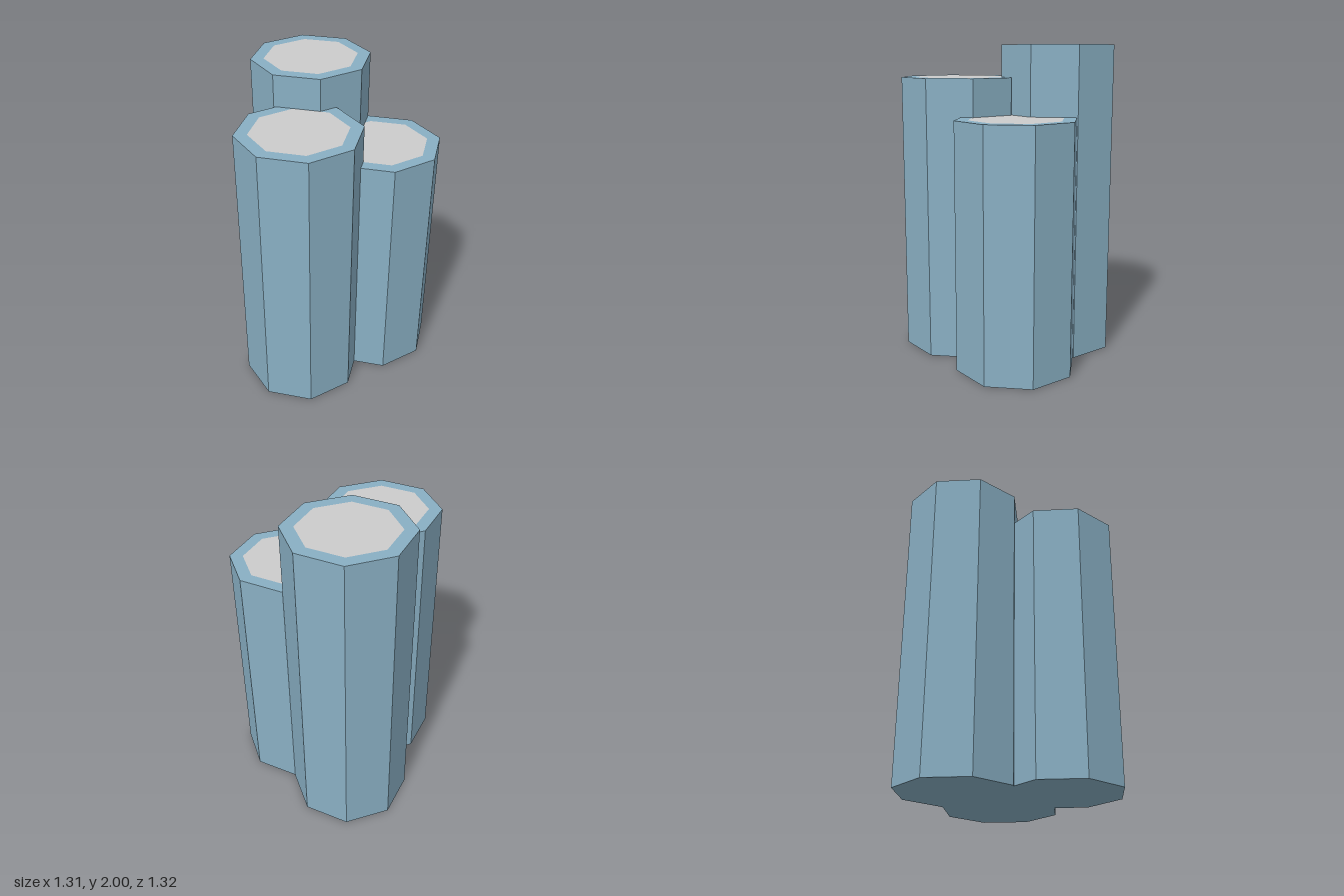
import * as THREE from 'three';

const SIDES = 8, RADIUS = 0.383, INNER = 0.3;

export function createModel() {
  const model = new THREE.Group();
  const blue = new THREE.MeshStandardMaterial({ color: 0x89afc3, flatShading: true });
  const grey = new THREE.MeshStandardMaterial({ color: 0xcccccc, flatShading: true });

  const addPart = (group, name, geometry, material) => {
    const mesh = new THREE.Mesh(geometry, material);
    mesh.name = name;
    group.add(mesh);
  };

  // One octagonal column: walls, base, rim and a flush grey top
  const addColumn = (name, x, z, height) => {
    const column = new THREE.Group();
    column.name = name;
    column.position.set(x, 0, z);
    addPart(column, 'columnWall',
      new THREE.CylinderGeometry(RADIUS, RADIUS, height, SIDES, 1, true).translate(0, height / 2, 0), blue);
    addPart(column, 'columnBase',
      new THREE.CircleGeometry(RADIUS, SIDES).rotateX(Math.PI / 2), blue);
    addPart(column, 'columnRim',
      new THREE.RingGeometry(INNER, RADIUS, SIDES).rotateX(-Math.PI / 2).translate(0, height, 0), blue);
    addPart(column, 'columnTop',
      new THREE.CircleGeometry(INNER, SIDES).rotateX(-Math.PI / 2).translate(0, height, 0), grey);
    model.add(column);
  };

  addColumn('tallColumn', -0.274, -0.278, 2);
  addColumn('middleColumn', 0.05, 0.274, 1.795);
  addColumn('shortColumn', 0.27, -0.272, 1.56);
  return model;
}
